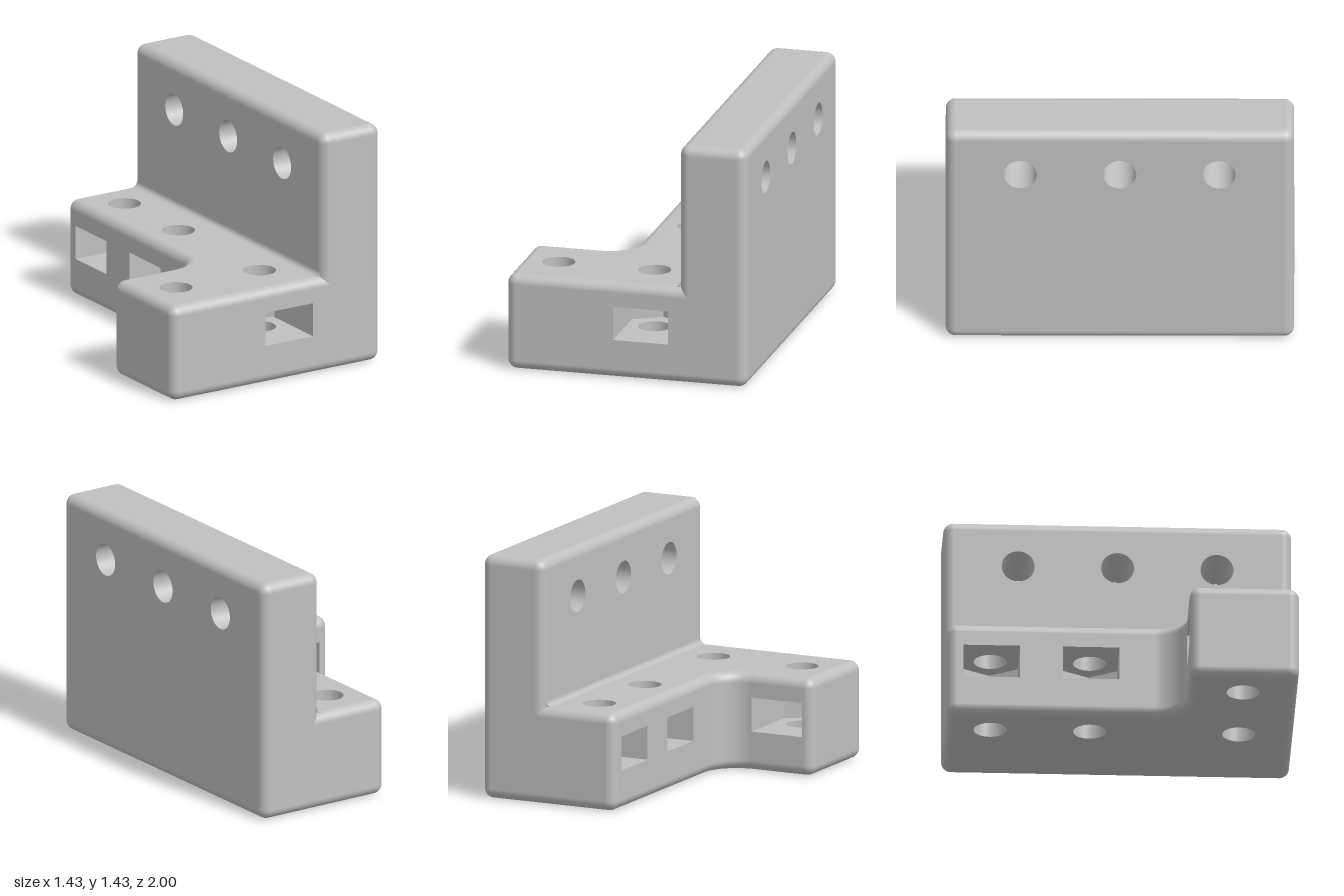
import * as THREE from 'three';

const R = 0.057;              // edge rounding
const HOLE = 0.095;           // bolt hole radius
const SLOT = 0.163;           // half width of a nut slot
const SLOT_Y = [0.23, 0.43];  // floor and ceiling of the nut slots
const BASE_H = 0.571;
const PI = Math.PI;

// Outline points carry an outward normal so they can be inset
function arc(cx, cy, r, a0, a1, sign = 1) {
  const n = 10;
  return Array.from({ length: n + 1 }, (_, i) => {
    const a = a0 + (a1 - a0) * i / n, c = Math.cos(a), s = Math.sin(a);
    return { x: cx + r * c, y: cy + r * s, nx: sign * c, ny: sign * s };
  });
}
const corner = (x, y, quarter) => {
  const a = quarter * PI / 2, m = a + PI / 4;
  return arc(x - R * Math.sign(Math.cos(m)), y - R * Math.sign(Math.sin(m)), R, a, a + PI / 2);
};

// Position at u along and v outward from a slot's hole centre
function slotPoint(slot, u, v) {
  const nx = Math.cos(slot.a), ny = Math.sin(slot.a);
  return { x: slot.x - ny * u + nx * v, y: slot.y + nx * u + ny * v, nx, ny };
}
const slotMouth = (s) => [
  { ...slotPoint(s, -SLOT, s.depth), open: true },
  slotPoint(s, SLOT, s.depth),
];

function flatFace(points, holes, z) {
  const pts = points.map(p => new THREE.Vector2(p.x, p.y))
    .filter((p, i, all) => i === 0 || p.distanceTo(all[i - 1]) > 1e-4);
  if (pts[0].distanceTo(pts[pts.length - 1]) < 1e-4) pts.pop();
  const shape = new THREE.Shape(pts);
  for (const [x, y] of holes) {
    shape.holes.push(new THREE.Path().absarc(x, y, HOLE, 0, 2 * PI, true));
  }
  return new THREE.ShapeGeometry(shape, 20).translate(0, 0, z);
}

// Side skin running along z with rounded rims; open outline segments are left out of the slot band
function roundedSkin(outline, z0, z1, levels = []) {
  const rings = [], k = 8;
  for (let i = 0; i <= k; i++) rings.push([z0 + R, -PI / 2 * (1 - i / k)]);
  for (const z of levels) rings.push([z, 0]);
  for (let i = 0; i <= k; i++) rings.push([z1 - R, PI / 2 * i / k]);
  const pos = [], nor = [], index = [], n = outline.length;
  rings.forEach(([z, t], j) => {
    const c = Math.cos(t), s = Math.sin(t), inset = R * (1 - c);
    outline.forEach((p, i) => {
      pos.push(p.x - p.nx * inset, p.y - p.ny * inset, z + R * s);
      nor.push(p.nx * c, p.ny * c, s);
      if (j === rings.length - 1 || (p.open && z === levels[0])) return;
      const a = j * n + i, b = j * n + (i + 1) % n;
      index.push(a, b, b + n, a, b + n, a + n);
    });
  });
  const g = new THREE.BufferGeometry();
  g.setAttribute('position', new THREE.Float32BufferAttribute(pos, 3));
  g.setAttribute('normal', new THREE.Float32BufferAttribute(nor, 3));
  g.setIndex(index);
  return g;
}

const insetOutline = (o) => o.map(p => ({ x: p.x - p.nx * R, y: p.y - p.ny * R }));

function bore(x, y, z0, z1) {
  return new THREE.CylinderGeometry(HOLE, HOLE, z1 - z0, 40, 1, true)
    .rotateX(PI / 2).translate(x, y, (z0 + z1) / 2);
}

export function createModel() {
  const model = new THREE.Group();
  model.name = 'cornerBracket';
  const grey = new THREE.MeshStandardMaterial({ color: 0xc0c0c0, side: THREE.DoubleSide });
  grey.name = 'grey';
  const add = (parent, name, geometry) => {
    const mesh = new THREE.Mesh(geometry, grey);
    mesh.name = name;
    parent.add(mesh);
  };

  // Base: plan drawn in x and -z, raised along y
  const base = new THREE.Group();
  base.name = 'base';
  base.rotation.x = -PI / 2;
  model.add(base);
  const slots = [
    { x: 0.085, y: -0.686, a: -PI / 2, depth: 0.314 },
    { x: 0.085, y: 0.743, a: PI, depth: 0.228 },
    { x: 0.085, y: 0.171, a: PI, depth: 0.228 },
    { x: -0.486, y: -0.686, a: PI / 2, depth: 0.315 },
  ];
  const plan = [
    ...corner(-0.714, -1, 2), ...slotMouth(slots[0]),
    ...corner(0.714, -1, 3), ...corner(0.714, 1, 0), ...corner(-0.143, 1, 1),
    ...slotMouth(slots[1]), ...slotMouth(slots[2]),
    ...arc(-0.314, -0.2, 0.171, 0, -PI / 2, -1),
    ...slotMouth(slots[3]), ...corner(-0.714, -0.371, 1),
  ];
  const baseHoles = slots.map(s => [s.x, s.y]);
  add(base, 'baseSides', roundedSkin(plan, 0, BASE_H, SLOT_Y));
  add(base, 'baseTop', flatFace(insetOutline(plan), baseHoles, BASE_H));
  add(base, 'baseBottom', flatFace(insetOutline(plan), baseHoles, 0));

  // Nut slots with a pointed inner end, crossed by vertical bolt holes
  for (const s of slots) {
    const pocket = [[-SLOT, s.depth], [-SLOT, -0.094], [0, -0.188], [SLOT, -0.094], [SLOT, s.depth]]
      .map(([u, v]) => slotPoint(s, u, v));
    for (const z of SLOT_Y) add(base, 'slotFloor', flatFace(pocket, [[s.x, s.y]], z));
    for (let i = 0; i < 4; i++) {
      const p = pocket[i], q = pocket[i + 1];
      const side = new THREE.PlaneGeometry(Math.hypot(q.x - p.x, q.y - p.y), SLOT_Y[1] - SLOT_Y[0])
        .rotateX(PI / 2).rotateZ(Math.atan2(q.y - p.y, q.x - p.x))
        .translate((p.x + q.x) / 2, (p.y + q.y) / 2, (SLOT_Y[0] + SLOT_Y[1]) / 2);
      add(base, 'slotSide', side);
    }
    add(base, 'lowerBoltHole', bore(s.x, s.y, 0, SLOT_Y[0]));
    add(base, 'upperBoltHole', bore(s.x, s.y, SLOT_Y[1], BASE_H));
  }

  // Upright wall: drawn in -z and y, extended along x, its foot sunk in the base
  const wall = new THREE.Group();
  wall.name = 'wall';
  wall.rotation.y = PI / 2;
  model.add(wall);
  const face = [
    ...corner(-1, 0.4, 2), ...corner(1, 0.4, 3), ...corner(1, 1.429, 0), ...corner(-1, 1.429, 1),
  ];
  const wallHoles = [-0.571, 0, 0.571].map(x => [x, 1.146]);
  add(wall, 'wallEdges', roundedSkin(face, 0.314, 0.714));
  for (const x of [0.314, 0.714]) add(wall, 'wallFace', flatFace(insetOutline(face), wallHoles, x));
  for (const [x, y] of wallHoles) add(wall, 'wallBoltHole', bore(x, y, 0.314, 0.714));

  // Small fillet where the wall meets the base
  const f = 0.03;
  const fillet = new THREE.Shape();
  fillet.moveTo(0, 0);
  fillet.lineTo(0, f);
  fillet.absarc(-f, f, f, 0, -PI / 2, true);
  fillet.closePath();
  add(model, 'wallFillet', new THREE.ExtrudeGeometry(fillet, { depth: 1.93, bevelEnabled: false, curveSegments: 6 })
    .translate(0.314, BASE_H, -0.965));

  return model;
}
